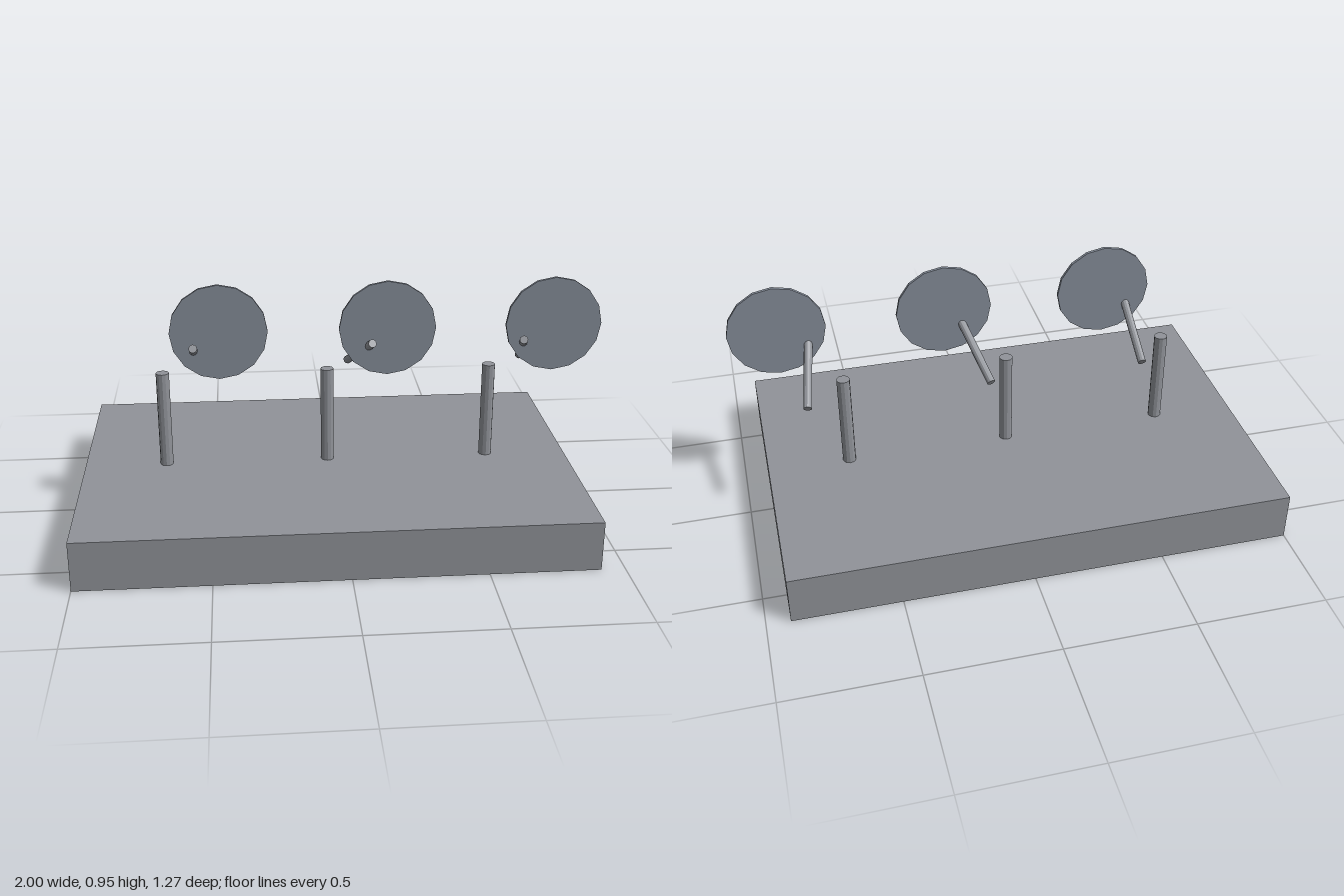
import * as THREE from 'three';

const material = (color) => new THREE.MeshStandardMaterial({ color, flatShading: true });
const stone = material(0x909399);
const blueGrey = material(0x858d99);

function part(name, geometry, color, x, y, z) {
  const mesh = new THREE.Mesh(geometry, color);
  mesh.name = name;
  mesh.position.set(x, y, z);
  return mesh;
}

export function createModel() {
  const model = new THREE.Group();
  model.name = 'plinthWithDiscs';

  // Thick rectangular slab
  model.add(part('base', new THREE.BoxGeometry(1.911, 0.192, 1.274), stone, -0.0445, 0.096, 0));

  const postGeometry = new THREE.CylinderGeometry(0.0255, 0.0255, 0.383, 12);
  const discGeometry = new THREE.CylinderGeometry(0.1845, 0.1845, 0.0127, 16).rotateX(Math.PI / 2);
  // Rod rises 30 degrees towards the front
  const rodGeometry = new THREE.CylinderGeometry(0.016, 0.016, 0.319, 12).rotateX(Math.PI / 3);

  // Three posts, each with a floating disc and a rod turned by its own angle
  [0, 15, -10].forEach((turn, i) => {
    const unit = new THREE.Group();
    unit.name = `unit${i + 1}`;
    unit.position.x = -0.0445 + (i - 1) * 0.637;
    const rod = part('rod', rodGeometry, stone, 0.127, 0.639, 0);
    rod.rotation.y = THREE.MathUtils.degToRad(turn);
    unit.add(
      part('post', postGeometry, stone, 0, 0.383, 0),
      part('disc', discGeometry, blueGrey, 0.223, 0.767, 0.096),
      rod
    );
    model.add(unit);
  });

  return model;
}
